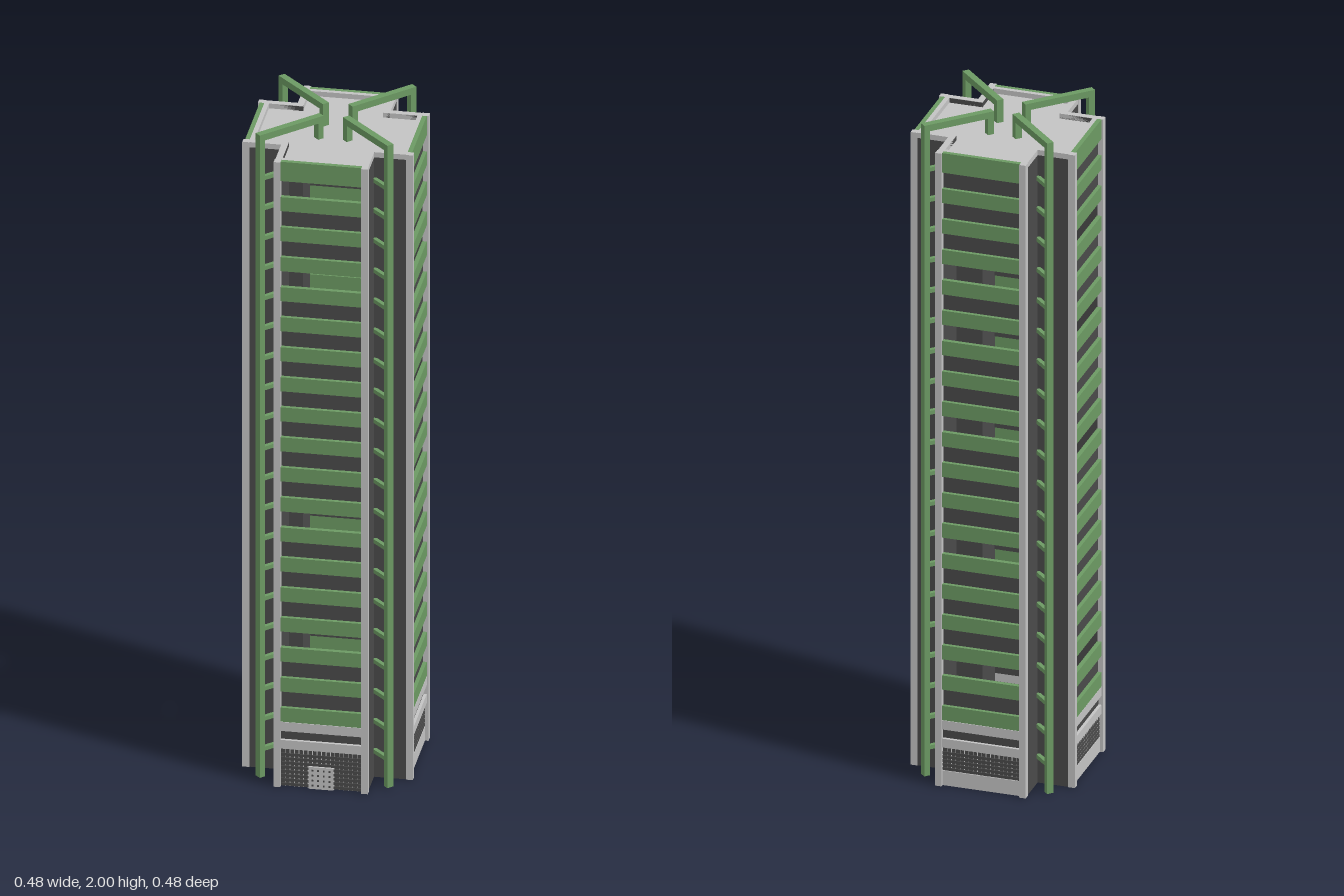
import * as THREE from 'three';

const mat = (name, color) => {
  const m = new THREE.MeshStandardMaterial({ color });
  m.name = name;
  return m;
};

export function createModel() {
  const green = mat('green cladding', 0x6c9a63);
  const dark = mat('dark panel', 0x4a4a4a);
  const light = mat('light concrete', 0xc3c3c3);
  const tower = new THREE.Group();
  tower.name = 'tower';

  const box = (parent, name, m, w, h, d, x, y, z) => {
    const mesh = new THREE.Mesh(new THREE.BoxGeometry(w, h, d), m);
    mesh.name = name;
    mesh.position.set(x, y, z);
    parent.add(mesh);
    return mesh;
  };

  const TOP = 1.945, FLOORS = 18, PITCH = 0.0935;
  const windowY = (floor) => 1.86 - (floor - 1) * PITCH;
  // Floors left open on the front, right, back and left faces
  const openFloors = [[1, 4, 12, 16], [3, 4, 8, 11], [4, 6, 9, 13, 17], [3, 6, 10, 17]];

  // Grille: dark plate with raised light bars
  function grille(parent, name, w, h, y, z) {
    const g = new THREE.Group();
    g.name = name;
    box(g, 'grillePlate', dark, w, h, 0.006, 0, y, z);
    const nx = Math.round(w / 0.0125), ny = Math.round(h / 0.0125);
    for (let i = 1; i < nx; i++)
      box(g, 'grilleBar', light, 0.0016, h, 0.002, -w / 2 + i * w / nx, y, z + 0.0035);
    for (let j = 1; j < ny; j++)
      box(g, 'grilleRail', dark, w, 0.008, 0.003, 0, y - h / 2 + (j - 0.5) * h / ny, z + 0.0042);
    parent.add(g);
  }

  function entrance(parent) {
    const door = new THREE.Group();
    door.name = 'entranceDoor';
    box(door, 'doorPanel', light, 0.07, 0.068, 0.009, 0, 0.034, 0.2315);
    for (let i = 0; i < 4; i++)
      for (let j = 0; j < 4; j++)
        box(door, 'doorPane', dark, 0.005, 0.005, 0.002, -0.024 + i * 0.016, 0.011 + j * 0.0155, 0.2365);
    parent.add(door);
  }

  for (let k = 0; k < 4; k++) {
    const wing = new THREE.Group();
    wing.name = ['frontWing', 'rightWing', 'backWing', 'leftWing'][k];
    wing.rotation.y = k * Math.PI / 2;
    tower.add(wing);

    // Side walls and corner columns
    for (const s of [-1, 1]) {
      box(wing, 'sideWall', dark, 0.018, TOP - 0.001, 0.111, s * 0.122, (TOP - 0.001) / 2, 0.1685);
      box(wing, 'cornerColumn', light, 0.019, TOP, 0.02, s * 0.1235, TOP / 2, 0.231);
    }

    // Green bands and recessed windows
    box(wing, 'topBand', green, 0.228, TOP - 1.885, 0.013, 0, (TOP + 1.885) / 2, 0.2295);
    for (let f = 1; f <= FLOORS; f++) {
      const y = windowY(f);
      box(wing, 'floorBand', green, 0.228, PITCH - 0.05, 0.013, 0, y - PITCH / 2, 0.2295);
      if (!openFloors[k].includes(f))
        box(wing, 'window', dark, 0.228, 0.053, 0.006, 0, y, 0.222);
    }

    // Base storey
    box(wing, 'baseBeam', light, 0.228, 0.028, 0.014, 0, 0.187, 0.229);
    box(wing, 'baseWindow', dark, 0.228, 0.032, 0.006, 0, 0.159, 0.224);
    box(wing, 'baseSill', light, 0.228, 0.027, 0.014, 0, 0.1315, 0.229);
    if (k === 0) {
      grille(wing, 'entranceGrille', 0.228, 0.118, 0.059, 0.225);
      entrance(wing);
    } else {
      grille(wing, 'baseGrille', 0.228, 0.073, 0.0815, 0.225);
      box(wing, 'basePanel', light, 0.228, 0.045, 0.008, 0, 0.0225, 0.227);
    }

    // Diagonal mast in the inner corner, with roof arm and wall brackets
    const mast = new THREE.Group();
    mast.name = 'cornerMast';
    mast.rotation.y = (k + 0.5) * Math.PI / 2;
    box(mast, 'mastPole', green, 0.02, 2, 0.018, 0, 1, 0.256);
    box(mast, 'roofArm', green, 0.02, 0.02, 0.216, 0, 1.99, 0.157);
    box(mast, 'roofStub', green, 0.02, 0.07, 0.018, 0, 1.955, 0.058);
    for (let f = 0; f <= FLOORS + 1; f++)
      box(mast, 'wallBracket', green, 0.012, 0.012, 0.07, 0, 1.86 - f * PITCH, 0.215);
    tower.add(mast);
  }

  // Cross-shaped roof slab and parapet
  const cross = (a, b) => [[a, b], [a, a], [b, a], [b, -a], [a, -a], [a, -b],
    [-a, -b], [-a, -a], [-b, -a], [-b, a], [-a, a], [-a, b]].map(([x, y]) => new THREE.Vector2(x, y));
  const extrudeRoof = (name, shape, depth, y) => {
    const geo = new THREE.ExtrudeGeometry(shape, { depth, bevelEnabled: false });
    geo.rotateX(-Math.PI / 2);
    const mesh = new THREE.Mesh(geo, light);
    mesh.name = name;
    mesh.position.y = y;
    tower.add(mesh);
  };
  extrudeRoof('roofSlab', new THREE.Shape(cross(0.129, 0.222)), 0.012, 1.918);
  const rim = new THREE.Shape(cross(0.1315, 0.223));
  rim.holes.push(new THREE.Path(cross(0.113, 0.21).reverse()));
  extrudeRoof('parapet', rim, 0.016, TOP - 0.016);

  return tower;
}
